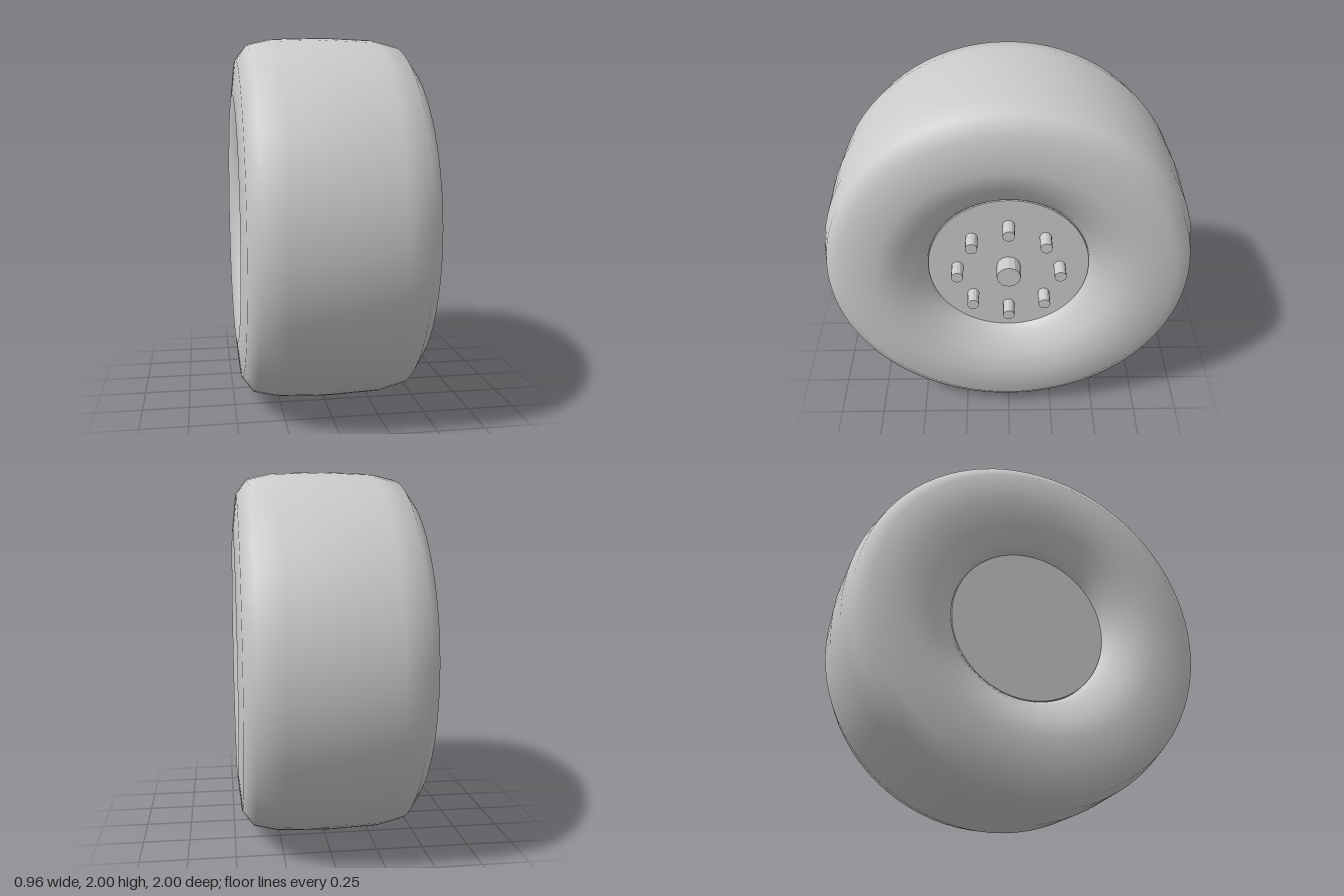
import * as THREE from 'three';

const grey = new THREE.MeshStandardMaterial({ color: 0xcccccc });
const facetGrey = new THREE.MeshStandardMaterial({ color: 0xcccccc, flatShading: true });

// Cylinder lying along x between x0 and x1
function axle(name, radius, x0, x1, sides, material, y = 0, z = 0) {
  const geometry = new THREE.CylinderGeometry(radius, radius, x1 - x0, sides);
  geometry.rotateZ(-Math.PI / 2);
  const mesh = new THREE.Mesh(geometry, material);
  mesh.name = name;
  mesh.position.set((x0 + x1) / 2, y, z);
  return mesh;
}

export function createModel() {
  const wheel = new THREE.Group();
  wheel.name = 'wheel';
  const hubFace = 0.335;

  // Tyre: half profile as [x, radius] from the bore out to the tread, mirrored
  const half = [
    [0.3, 0.43], [0.335, 0.437], [0.38, 0.47], [0.44, 0.57], [0.48, 0.69],
    [0.46, 0.88], [0.4, 0.96], [0.27, 0.99],
  ];
  const profile = [
    ...half.map(([x, r]) => new THREE.Vector2(r, -x)),
    new THREE.Vector2(1, 0),
    ...half.slice().reverse().map(([x, r]) => new THREE.Vector2(r, x)),
  ];
  const tyreGeometry = new THREE.LatheGeometry(profile, 80);
  tyreGeometry.rotateZ(-Math.PI / 2);
  const tyre = new THREE.Mesh(tyreGeometry, grey);
  tyre.name = 'tyre';
  wheel.add(tyre);

  // Hub filling the bore, flat on both sides
  wheel.add(axle('hub', 0.432, -hubFace, hubFace, 80, grey));

  // Centre cap and ring of wheel studs on the outer face
  wheel.add(axle('centreCap', 0.064, hubFace - 0.02, 0.43, 12, facetGrey));
  for (let i = 0; i < 8; i++) {
    const a = (i / 8) * Math.PI * 2;
    wheel.add(axle('wheelStud', 0.032, hubFace - 0.02, 0.43, 12, facetGrey,
      0.275 * Math.cos(a), 0.275 * Math.sin(a)));
  }

  wheel.position.y = 1;
  const model = new THREE.Group();
  model.name = 'wheelModel';
  model.add(wheel);
  return model;
}
